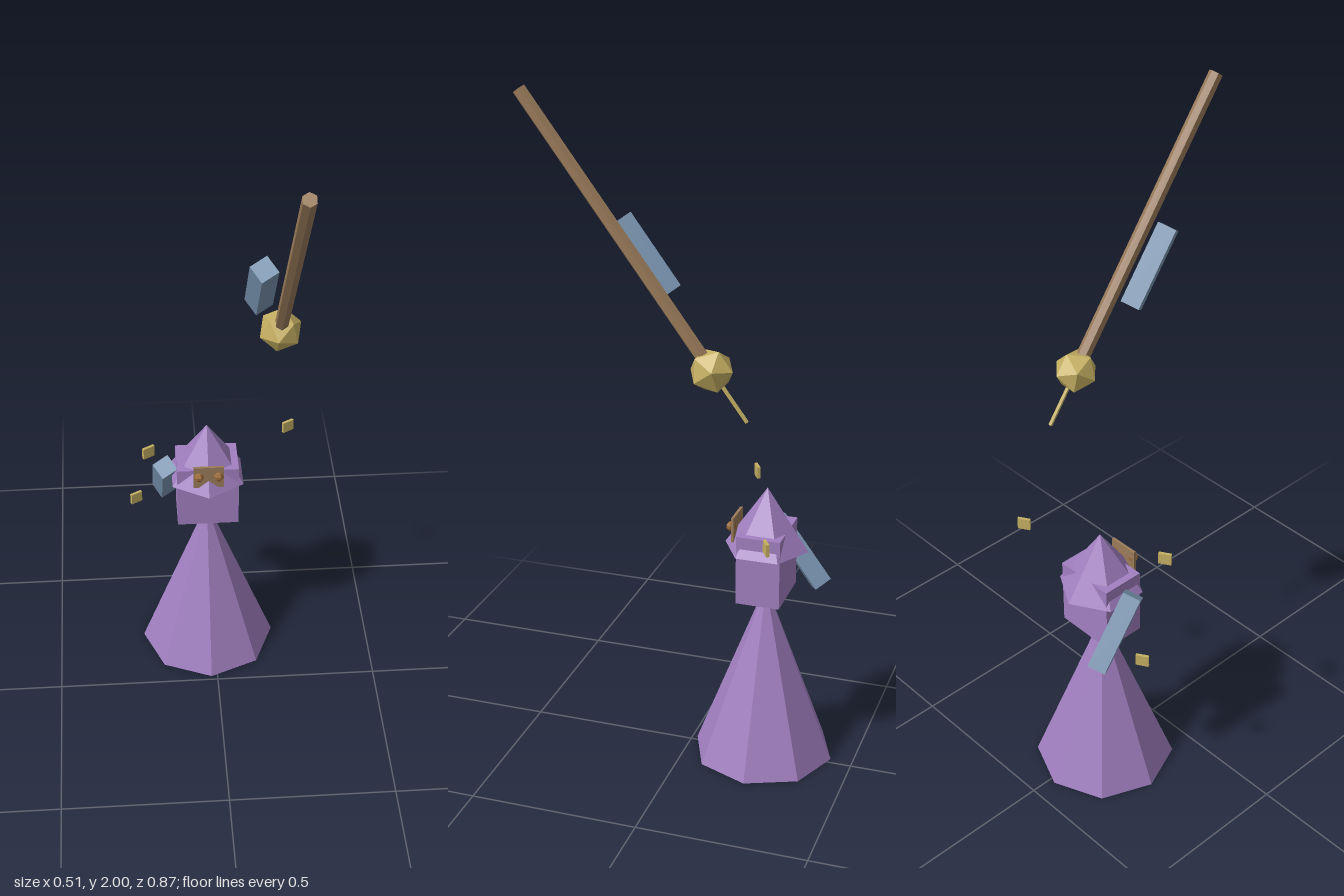
import * as THREE from 'three';

const mat = (name, color) => {
  const m = new THREE.MeshStandardMaterial({ color, flatShading: true });
  m.name = name;
  return m;
};

export function createModel() {
  const purple = mat('purple', 0xa17fc0);
  const blue = mat('slate blue', 0x7a95b2);
  const gold = mat('gold', 0xc6b063);
  const wood = mat('wood', 0x9a7b5a);
  const amber = mat('amber brown', 0x9a6a38);

  const model = new THREE.Group();
  model.name = 'floatingWizard';

  const add = (parent, name, geometry, material, position, rotation = [0, 0, 0]) => {
    const mesh = new THREE.Mesh(geometry, material);
    mesh.name = name;
    mesh.position.set(...position);
    mesh.rotation.set(...rotation);
    parent.add(mesh);
    return mesh;
  };

  // Robe, head and pointed hat share one vertical axis
  const figure = new THREE.Group();
  figure.name = 'figure';
  figure.position.set(-0.019, 0, -0.224);
  model.add(figure);
  add(figure, 'robe', new THREE.ConeGeometry(0.21, 0.55, 8), purple, [0, 0.275, 0]);
  add(figure, 'head', new THREE.BoxGeometry(0.188, 0.21, 0.13), purple, [0, 0.628, 0]);
  add(figure, 'hat', new THREE.ConeGeometry(0.125, 0.185, 6), purple, [0, 0.7645, 0]);

  // Goggles: a thin plate crossed by the hat's front ridge, with two lenses
  add(figure, 'gogglePlate', new THREE.BoxGeometry(0.092, 0.075, 0.008), wood, [0, 0.729, 0.091]);
  for (const side of [-1, 1]) {
    add(figure, side < 0 ? 'rightLens' : 'leftLens',
      new THREE.SphereGeometry(0.015, 6, 5), amber, [side * 0.03, 0.735, 0.099]);
  }

  // Two tilted square-section sleeves
  const tilt = 0.636;
  const sleeve = new THREE.BoxGeometry(0.055, 0.238, 0.055);
  add(model, 'rightSleeve', sleeve, blue, [-0.147, 0.611, -0.288], [tilt, 0.553, 0]);
  add(model, 'leftSleeve', sleeve, blue, [0.108, 1.548, 0.092], [tilt, 0.553, 0]);

  // Staff, built along its own axis with the orb at its origin
  const staff = new THREE.Group();
  staff.name = 'staff';
  staff.position.set(0.185, 1.265, -0.119);
  staff.rotation.x = tilt;
  model.add(staff);
  add(staff, 'shaft', new THREE.CylinderGeometry(0.02, 0.02, 0.9, 6), wood, [0, 0.45, 0]);
  add(staff, 'orb', new THREE.IcosahedronGeometry(0.064, 0), gold, [0, 0, 0], [0, -0.2, 0]);
  add(staff, 'spike', new THREE.CylinderGeometry(0.006, 0.006, 0.17, 6), gold, [0, -0.085, 0]);

  // Floating square charms
  const charm = new THREE.BoxGeometry(0.038, 0.036, 0.009);
  for (const p of [[-0.198, 0.828, -0.141], [0.235, 0.788, -0.293], [-0.238, 0.55, -0.268]]) {
    add(model, 'charm', charm, gold, p, [0, 0.53, 0]);
  }

  return model;
}
